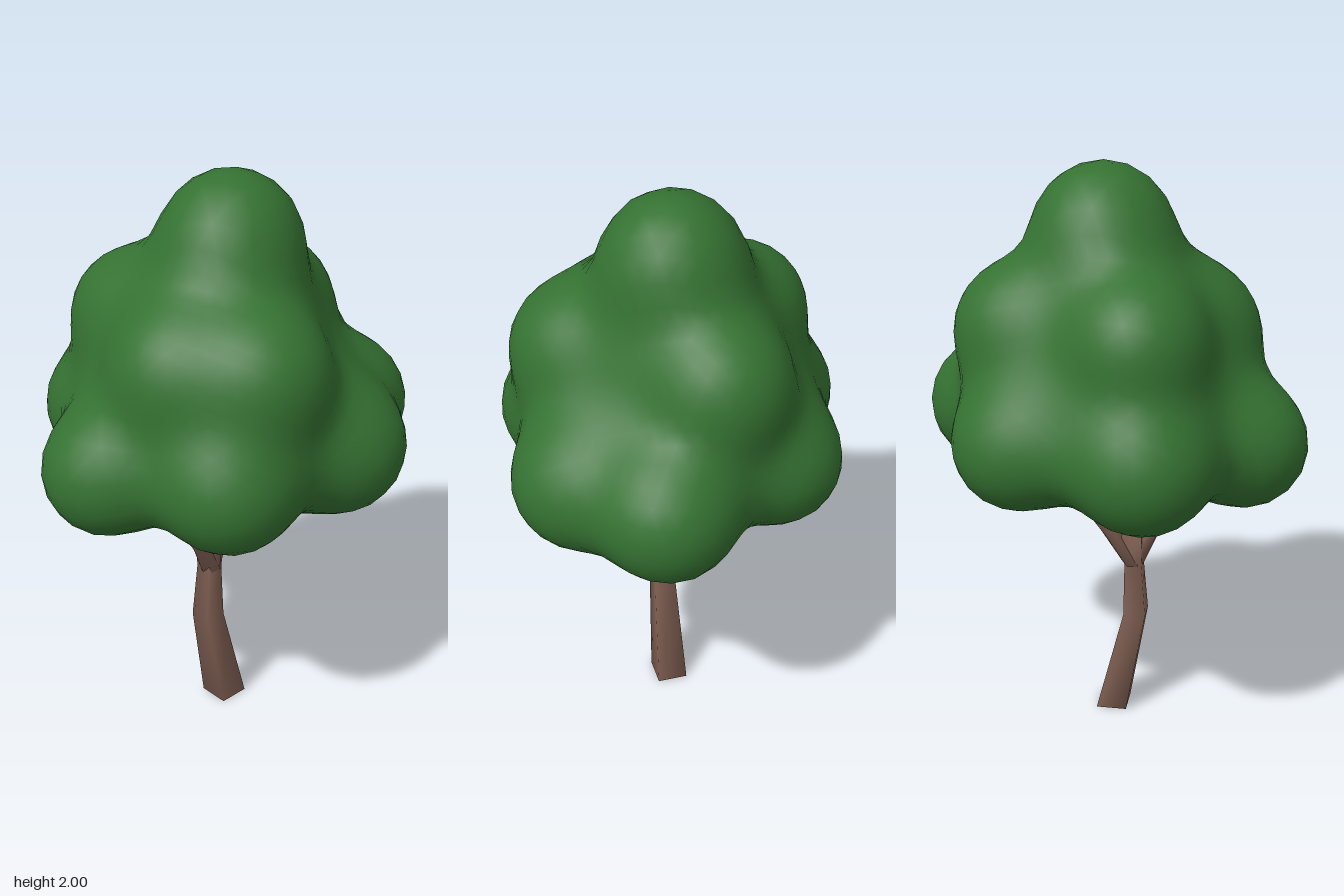
import * as THREE from 'three';
import { mergeVertices } from 'three/addons/utils/BufferGeometryUtils.js';

const V = (x, y, z) => new THREE.Vector3(x, y, z);
const leafMaterial = new THREE.MeshStandardMaterial({ color: 0x357232 });
const barkMaterial = new THREE.MeshStandardMaterial({ color: 0x7f5f52 });

// Leaf clumps: x, y, z, radius, height ratio
const clumps = [
  [0.035, 1.77, 0.02, 0.228, 1],   // crown
  [0, 1.42, 0, 0.33, 1],           // upper core
  [0, 1.28, 0, 0.41, 0.55],        // middle core
  [0, 1.13, 0, 0.45, 0.48],        // wide lower core
  [0, 0.95, 0.08, 0.21, 1],        // underside bulge
  [-0.455, 1.08, -0.05, 0.21, 1],  // lower ring
  [0.445, 1.11, 0.15, 0.22, 1],
  [0.19, 1.1, 0.375, 0.22, 1],
  [-0.26, 1.1, 0.32, 0.218, 1],
  [-0.16, 1.11, -0.375, 0.22, 1],
  [0.27, 1.11, -0.27, 0.205, 1],
  [0.3, 1.46, -0.07, 0.21, 1],     // upper ring
  [-0.11, 1.43, 0.305, 0.215, 1],
  [-0.27, 1.43, 0.09, 0.205, 1],
  [-0.13, 1.48, -0.27, 0.205, 1],
];

// Distance to all clumps, blended softly where they meet
function clumpDistance(p) {
  const k = 0.06;
  let sum = 0;
  for (const [x, y, z, r, h] of clumps) {
    sum += Math.exp((r - Math.hypot(p.x - x, (p.y - y) / h, p.z - z)) / k);
  }
  return -k * Math.log(sum);
}

// Sphere whose vertices are pulled in from outside until they meet the clumps
function foliageGeometry() {
  let geo = new THREE.IcosahedronGeometry(1, 11);
  geo.deleteAttribute('normal');
  geo.deleteAttribute('uv');
  geo = mergeVertices(geo, 1e-4);
  const centre = V(0, 1.25, 0), pos = geo.attributes.position;
  const dir = V(), p = V();
  for (let i = 0; i < pos.count; i++) {
    dir.fromBufferAttribute(pos, i).normalize();
    let t = 1.3;
    for (let step = 0; step < 120; step++) {
      const d = clumpDistance(p.copy(centre).addScaledVector(dir, t));
      if (Math.abs(d) < 0.0005) break;
      t -= d * 0.45;
    }
    p.copy(centre).addScaledVector(dir, t);
    pos.setXYZ(i, p.x, Math.min(p.y, 2), p.z);
  }
  geo.computeVertexNormals();
  return geo;
}

// Tapered limb: level rings of n points joined along the stations [x, y, z, radius]
function limbGeometry(stations, n) {
  const points = [], index = [];
  for (const [x, y, z, r] of stations) {
    for (let i = 0; i < n; i++) {
      const a = ((i + 0.5) / n) * Math.PI * 2;
      points.push(x + r * Math.sin(a), y, z + r * Math.cos(a));
    }
  }
  for (let s = 0; s < stations.length - 1; s++) {
    for (let i = 0; i < n; i++) {
      const a = s * n + i, b = s * n + (i + 1) % n;
      index.push(a, b, b + n, a, b + n, a + n);
    }
  }
  // Both end caps
  const top = (stations.length - 1) * n;
  for (let i = 1; i < n - 1; i++) {
    index.push(0, i + 1, i, top, top + i, top + i + 1);
  }
  const geo = new THREE.BufferGeometry();
  geo.setAttribute('position', new THREE.Float32BufferAttribute(points, 3));
  geo.setIndex(index);
  geo.computeVertexNormals();
  return geo;
}

export function createModel() {
  const tree = new THREE.Group();
  tree.name = 'tree';
  const add = (name, geometry, material) => {
    const mesh = new THREE.Mesh(geometry, material);
    mesh.name = name;
    tree.add(mesh);
  };

  add('foliage', foliageGeometry(), leafMaterial);

  // Crooked four-sided trunk
  add('trunk', limbGeometry([
    [0, 0, 0.027, 0.076],
    [-0.08, 0.38, 0.027, 0.055],
    [-0.073, 0.58, 0.027, 0.042],
    [-0.068, 0.69, 0.027, 0.05],
  ], 4), barkMaterial);

  // Branches forking into the leaves
  const branches = {
    leftBranch: [[0.005, 0.7, 0, 0.034], [0.19, 1.01, -0.13, 0.015]],
    rightBranch: [[-0.125, 0.69, 0.04, 0.034], [-0.33, 0.94, 0.09, 0.018]],
    middleBranch: [[-0.065, 0.72, 0.045, 0.03], [-0.06, 0.95, 0.08, 0.02]],
  };
  for (const [name, path] of Object.entries(branches)) {
    add(name, limbGeometry([[-0.07, 0.57, 0.027, 0.036], ...path], 6), barkMaterial);
  }
  return tree;
}
